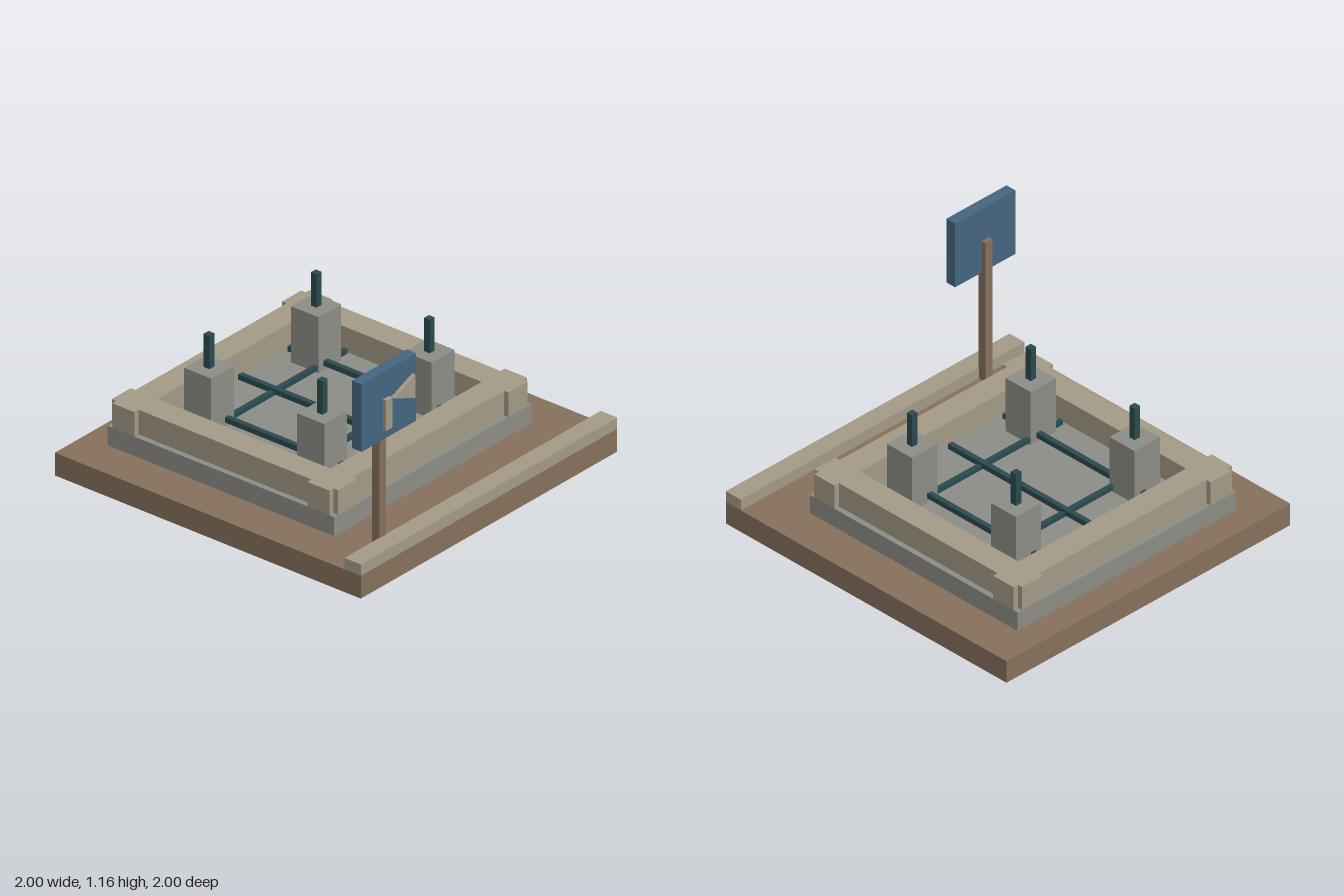
import * as THREE from 'three';

const material = (name, color) => {
  const m = new THREE.MeshStandardMaterial({ color });
  m.name = name;
  return m;
};

export function createModel() {
  const earth = material('earth brown', 0x866f5b);
  const sand = material('sand', 0xa39985);
  const concrete = material('concrete grey', 0x8b8c86);
  const steel = material('dark steel', 0x2a4a4e);
  const blue = material('sign blue', 0x44657f);

  const model = new THREE.Group();
  model.name = 'foundationSite';

  // Box given by its lower and upper limits on each axis
  const box = (name, mat, [x0, x1], [y0, y1], [z0, z1], parent = model) => {
    const mesh = new THREE.Mesh(new THREE.BoxGeometry(x1 - x0, y1 - y0, z1 - z0), mat);
    mesh.position.set((x0 + x1) / 2, (y0 + y1) / 2, (z0 + z1) / 2);
    mesh.name = name;
    parent.add(mesh);
    return mesh;
  };
  const around = (c, size) => [c - size / 2, c + size / 2];

  // Ground and front curb
  box('ground', earth, [-1, 1], [0, 0.13], [-1, 1]);
  box('curb', sand, [-1, 1], [0.13, 0.195], [0.893, 1]);

  // Foundation, centred a little behind the middle
  const foundation = new THREE.Group();
  foundation.name = 'foundation';
  foundation.position.z = -0.107;
  model.add(foundation);
  box('slab', concrete, [-0.77, 0.77], [0.13, 0.24], [-0.74, 0.74], foundation);

  // Ring wall with stepped corners: one quadrant, mirrored round the outline
  const quadrant = [
    [0.738, 0.565], [0.77, 0.565], [0.77, 0.71], [0.738, 0.71],
    [0.738, 0.74], [0.59, 0.74], [0.59, 0.71],
  ];
  const outline = [];
  for (const [sx, sy] of [[1, 1], [-1, 1], [-1, -1], [1, -1]]) {
    const pts = quadrant.map(([x, y]) => new THREE.Vector2(x * sx, y * sy));
    outline.push(...(sx * sy > 0 ? pts : pts.reverse()));
  }
  const ring = new THREE.Shape(outline);
  const hole = new THREE.Path();
  hole.moveTo(-0.59, -0.565).lineTo(-0.59, 0.565).lineTo(0.59, 0.565).lineTo(0.59, -0.565).closePath();
  ring.holes.push(hole);
  const wall = new THREE.Mesh(
    new THREE.ExtrudeGeometry(ring, { depth: 0.14, bevelEnabled: false }).rotateX(-Math.PI / 2), sand);
  wall.position.y = 0.24;
  wall.name = 'ringWall';
  foundation.add(wall);

  // Pedestals with a steel dowel in each
  for (const x of [-0.418, 0.418]) {
    for (const z of [-0.373, 0.367]) {
      box('pedestal', concrete, around(x, 0.178), [0.24, 0.56], around(z, 0.178), foundation);
      box('dowel', steel, around(x, 0.038), [0.56, 0.75], around(z, 0.038), foundation);
    }
  }

  // Reinforcement grid
  for (const z of [-0.3, 0.293]) {
    box('crossBar', steel, [-0.56, 0.56], around(0.267, 0.026), around(z, 0.026), foundation);
  }
  for (const x of [-0.385, 0, 0.385]) {
    box('longBar', steel, around(x, 0.03), around(0.28, 0.03), [-0.52, 0.52], foundation);
  }

  // Sign with post, board and raised marker
  const sign = new THREE.Group();
  sign.name = 'sign';
  model.add(sign);
  box('signPost', earth, [-0.728, -0.678], [0.13, 0.97], [0.847, 0.896], sign);
  box('signBoard', blue, [-0.915, -0.49], [0.78, 1.165], [0.872, 0.935], sign);
  box('markerBar', sand, [-0.786, -0.738], [0.863, 1.036], [0.965, 0.987], sign);
  const triangle = new THREE.Shape([
    new THREE.Vector2(-0.722, 1.023), new THREE.Vector2(-0.557, 0.955), new THREE.Vector2(-0.557, 1.09),
  ]);
  const arrow = new THREE.Mesh(
    new THREE.ExtrudeGeometry(triangle, { depth: 0.022, bevelEnabled: false }), sand);
  arrow.position.z = 0.965;
  arrow.name = 'markerTriangle';
  sign.add(arrow);

  return model;
}
